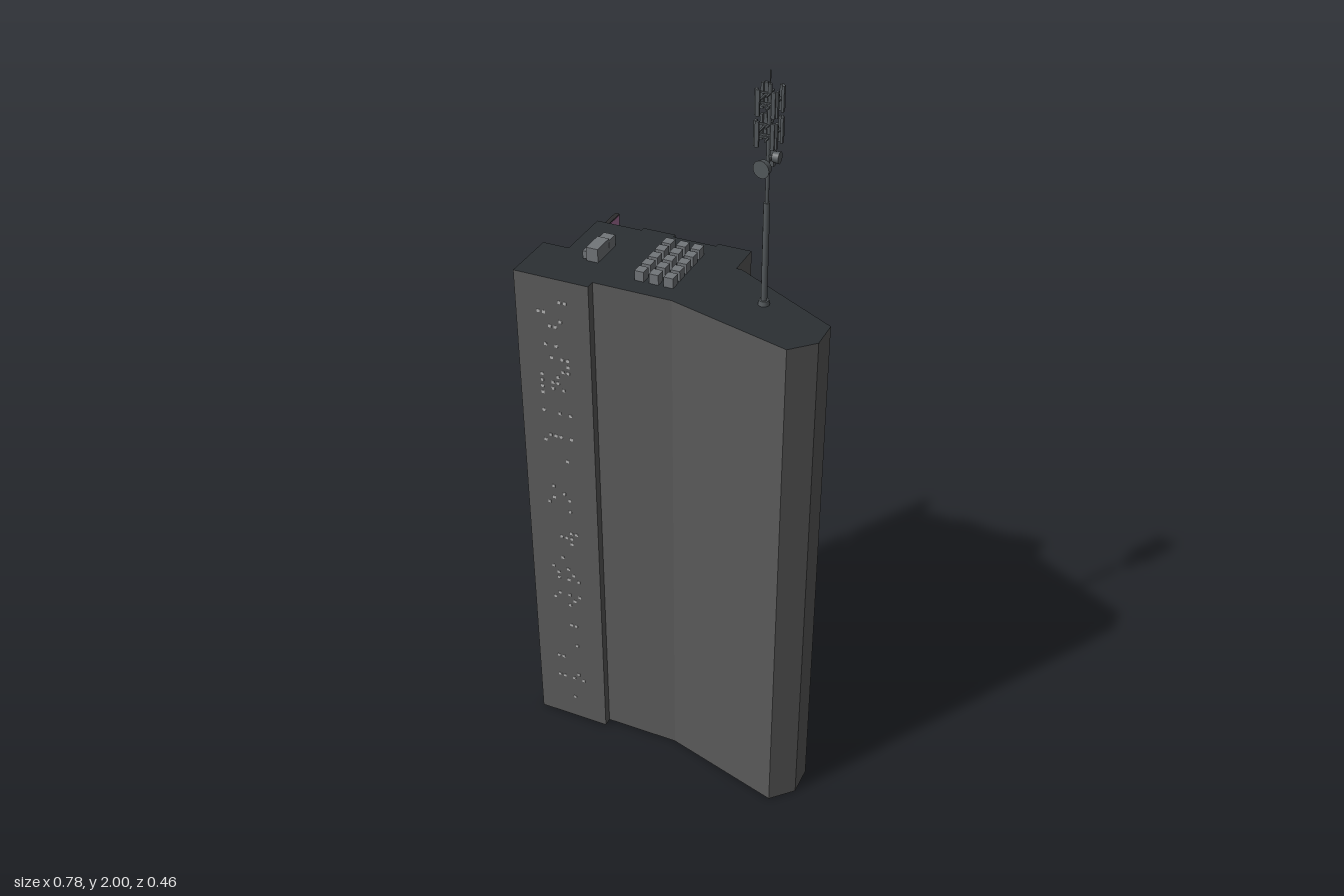
import * as THREE from 'three';
import { mergeGeometries } from 'three/addons/utils/BufferGeometryUtils.js';

const H = 1.43; // roof height
const paint = (color) => new THREE.MeshStandardMaterial({ color });
const wallMat = paint(0x5a5a5a), roofMat = paint(0x2b3033), unitMat = paint(0x72767a);
const lightMat = paint(0xb4b4b4), mastMat = paint(0x53585b), frameMat = paint(0x2c2c2e);
const pinkMat = paint(0xa8719a), stripPink = paint(0x7a4468), orangeMat = paint(0xa8683c);

// Footprint corners as x, z
const footprint = [
  [-0.39, 0.01], [-0.32, 0.01], [-0.32, -0.145], [-0.197, -0.145], [-0.197, -0.157],
  [-0.11, -0.157], [-0.11, -0.145], [0.005, -0.145], [0.005, -0.157], [0.093, -0.157],
  [0.093, -0.063], [0.107, -0.063], [0.39, 0.095], [0.39, 0.173], [0.335, 0.228],
  [0.015, 0.138], [-0.19, 0.138], [-0.19, 0.161], [-0.39, 0.161],
];

function seeded(seed) {
  return () => {
    seed = (seed * 16807) % 2147483647;
    return seed / 2147483647;
  };
}

function add(parent, name, geometry, material, x = 0, y = 0, z = 0) {
  const mesh = new THREE.Mesh(geometry, material);
  mesh.name = name;
  mesh.position.set(x, y, z);
  parent.add(mesh);
  return mesh;
}
const box = (w, h, d) => new THREE.BoxGeometry(w, h, d);

// Lit windows on one wall, running from p to q (left to right seen from outside)
function wallLights(parent, name, p, q, panes) {
  const dx = q[0] - p[0], dz = q[1] - p[1];
  const geometry = mergeGeometries(panes.map(([u, y, w, h]) => box(w, h, 0.002).translate(u, y, 0)));
  const mesh = add(parent, name, geometry, lightMat, p[0], 0, p[1]);
  mesh.rotation.y = Math.atan2(-dz, dx);
}

// Scattered small square windows in clustered rows
function dots(u0, u1, y0, y1, columns, seed) {
  const rand = seeded(seed), panes = [];
  for (let y = y0; y < y1; y += 0.018) {
    const density = rand() < 0.35 ? 0.04 : 0.1 + 0.42 * rand();
    for (let i = 0; i < columns; i++) {
      if (rand() < density) panes.push([u0 + ((u1 - u0) * i) / (columns - 1), y, 0.008, 0.008]);
    }
  }
  return panes;
}

// Wide slot windows in one column, some of them doubled
function slots(u, seed) {
  const rand = seeded(seed), panes = [];
  for (let y = 0.13; y < 1.4; y += 0.03 + 0.065 * rand()) {
    panes.push([u, y, 0.032, 0.006]);
    if (rand() < 0.55) panes.push([u, (y += 0.017), 0.032, 0.006]);
  }
  return panes;
}

function makeMast() {
  const mast = new THREE.Group();
  mast.name = 'antennaMast';
  const rod = (name, r, y0, y1, x = 0, z = 0) =>
    add(mast, name, new THREE.CylinderGeometry(r, r, y1 - y0, 10), mastMat, x, (y0 + y1) / 2, z);
  add(mast, 'mastFoot', new THREE.CylinderGeometry(0.012, 0.014, 0.012, 12), mastMat, 0, H + 0.006, 0);
  rod('lowerPole', 0.0075, H, 1.69);
  rod('upperPole', 0.0045, 1.69, 1.97);
  rod('tip', 0.0015, 1.97, 2);

  // Two tiers of panel antennas on cross arms
  for (const y of [1.86, 1.932]) {
    for (let i = 0; i < 4; i++) {
      const arm = new THREE.Group();
      arm.name = 'panelArm';
      arm.rotation.y = (i * Math.PI) / 2;
      arm.position.y = y;
      add(arm, 'bracket', box(0.004, 0.004, 0.022), mastMat, 0, 0.015, 0.011);
      add(arm, 'bracket', box(0.004, 0.004, 0.022), mastMat, 0, -0.015, 0.011);
      add(arm, 'crossBar', box(0.044, 0.004, 0.004), mastMat, 0, 0, 0.019);
      for (const s of [-1, 1]) add(arm, 'panel', box(0.009, 0.06, 0.006), mastMat, s * 0.018, 0, 0.024);
      mast.add(arm);
    }
  }

  // Drum dishes below the panels
  const dish = (r, y, angle) => {
    const arm = new THREE.Group();
    arm.name = 'dish';
    arm.position.y = y;
    arm.rotation.y = angle;
    add(arm, 'drum', new THREE.CylinderGeometry(r, r * 0.85, 0.016, 16).rotateX(Math.PI / 2), mastMat, 0, 0, 0.02);
    add(arm, 'dishBracket', box(0.006, 0.006, 0.016), mastMat, 0, 0, 0.008);
    mast.add(arm);
  };
  dish(0.021, 1.78, -0.2);
  dish(0.014, 1.803, Math.PI / 2);
  add(mast, 'radioBox', box(0.018, 0.042, 0.012), mastMat, -0.004, 1.788, -0.027);
  add(mast, 'radioBracket', box(0.006, 0.006, 0.024), mastMat, -0.002, 1.788, -0.012);
  mast.position.set(0.215, 0, 0.065);
  return mast;
}

export function createModel() {
  const model = new THREE.Group();
  model.name = 'towerBlock';

  // Main block: dark caps, grey walls
  const shape = new THREE.Shape(footprint.map(([x, z]) => new THREE.Vector2(x, -z)));
  const block = new THREE.ExtrudeGeometry(shape, { depth: H, bevelEnabled: false }).rotateX(-Math.PI / 2);
  add(model, 'tower', block, [roofMat, wallMat]);

  // Windows
  wallLights(model, 'frontWindows', [-0.39, 0.161], [-0.19, 0.161], dots(0.062, 0.136, 0.055, 1.385, 6, 17));
  wallLights(model, 'endWindows', [-0.39, 0.01], [-0.39, 0.161], dots(0.05, 0.125, 0.055, 1.385, 6, 91));
  wallLights(model, 'slantWindows', [0.39, 0.095], [0.107, -0.063],
    [...dots(0.075, 0.135, 0.12, 1.385, 5, 33), ...dots(0.175, 0.225, 0.12, 1.385, 4, 58)]);
  wallLights(model, 'sideSlots', [0.093, -0.063], [0.093, -0.157], slots(0.043, 7));
  wallLights(model, 'backSlots', [0.093, -0.157], [0.005, -0.157], slots(0.044, 7));
  wallLights(model, 'backSlots', [-0.11, -0.157], [-0.197, -0.157], slots(0.044, 7));
  wallLights(model, 'endSlots', [-0.32, -0.145], [-0.32, 0.01], slots(0.078, 7));

  // Full-height light strips on the back
  add(model, 'pinkStrip', box(0.009, H - 0.01, 0.006), stripPink, -0.054, H / 2, -0.145);
  add(model, 'orangeStrip', box(0.011, H - 0.01, 0.009), orangeMat, -0.357, H / 2, 0.009);

  // Projecting signs: dark frame with a pink face on both sides
  for (const [y0, y1] of [[0.283, 0.578], [0.7, 0.998], [1.035, 1.412]]) {
    const sign = new THREE.Group();
    sign.name = 'sign';
    sign.position.set(-0.308, (y0 + y1) / 2, -0.193);
    add(sign, 'signFrame', box(0.012, y1 - y0, 0.078), frameMat);
    add(sign, 'signFace', box(0.014, y1 - y0 - 0.006, 0.073), pinkMat);
    for (const s of [-1, 1]) {
      add(sign, 'signBracket', box(0.006, 0.006, 0.012), frameMat, 0, s * (y1 - y0) * 0.35, 0.043);
    }
    model.add(sign);
  }

  // Roof plant
  for (let i = 0; i < 3; i++) {
    for (let j = 0; j < 5; j++) {
      add(model, 'roofUnit', box(0.024, 0.026, 0.027), unitMat, -0.092 + 0.038 * i, H + 0.014, -0.077 + 0.038 * j);
    }
  }
  add(model, 'airHandler', box(0.031, 0.036, 0.061), unitMat, -0.236, H + 0.018, 0.018);
  add(model, 'airHandlerEnd', box(0.031, 0.03, 0.033), unitMat, -0.236, H + 0.015, -0.03);
  add(model, 'airDuct', box(0.012, 0.02, 0.024), unitMat, -0.257, H + 0.012, 0.033);

  model.add(makeMast());
  return model;
}
